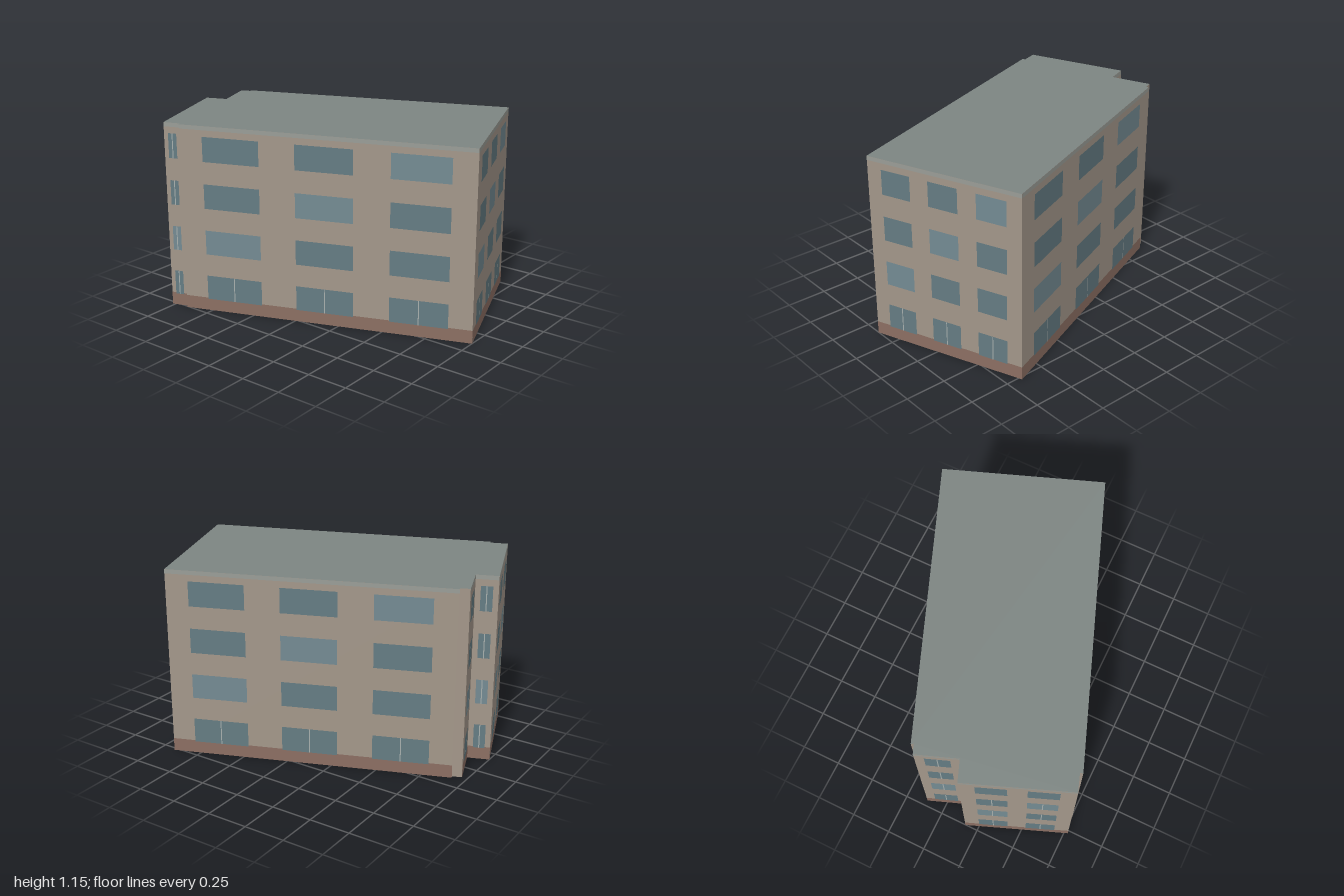
import * as THREE from 'three';

const HEIGHT = 1.155, FLOORS = 4, FLOOR_H = HEIGHT / FLOORS;

// Footprint corners [x, z], running left to right along each wall as seen from outside
const FOOTPRINT = [
  [-0.14, 1], [0.77, 0.66], [0.157, -0.918], [0.143, -0.91], [0.12, -0.965],
  [-0.12, -0.875], [-0.168, -1], [-0.773, -0.766], [-0.738, -0.665], [-0.755, -0.658],
];

const mat = (color, side = THREE.FrontSide) => new THREE.MeshStandardMaterial({ color, side });

export function createModel() {
  const model = new THREE.Group();
  model.name = 'apartmentBlock';
  const mats = {
    wall: mat(0xa3978a, THREE.DoubleSide),
    roof: mat(0x7d8582, THREE.DoubleSide),
    plinth: mat(0x8c6f63),
    fascia: mat(0x9a9d97),
    glass: mat(0x657c83),
    paleGlass: mat(0x748b93),
    mullion: mat(0xa8b0ae),
  };

  // Flat panel in a wall's own frame: x along the wall, z outwards
  function panel(parent, name, material, x, y, w, h, z) {
    const mesh = new THREE.Mesh(new THREE.PlaneGeometry(w, h), material);
    mesh.position.set(x, y, z);
    mesh.name = name;
    parent.add(mesh);
  }

  FOOTPRINT.forEach(([x0, z0], i) => {
    const [x1, z1] = FOOTPRINT[(i + 1) % FOOTPRINT.length];
    const len = Math.hypot(x1 - x0, z1 - z0);
    const side = new THREE.Group();
    side.name = 'facade';
    side.position.set(x0, 0, z0);
    side.rotation.y = Math.atan2(z0 - z1, x1 - x0);
    model.add(side);

    // Wall, brown plinth and roof-edge strip
    panel(side, 'wall', mats.wall, len / 2, HEIGHT / 2, len, HEIGHT, 0);
    if (len < 0.08) return;
    panel(side, 'plinth', mats.plinth, len / 2, 0.04, len, 0.08, 0.001);
    panel(side, 'fascia', mats.fascia, len / 2, HEIGHT - 0.0125, len, 0.025, 0.001);

    // Window grid
    const cols = len > 0.9 ? 3 : len > 0.6 ? 2 : 1;
    const margin = cols > 1 ? 0.033 : 0.01;
    const slot = (len - 2 * margin) / cols;
    for (let f = 0; f < FLOORS; f++) {
      for (let c = 0; c < cols; c++) {
        const x = margin + slot * (c + 0.5), y = f * FLOOR_H + 0.149;
        const glass = f - 1 === c ? mats.paleGlass : mats.glass;
        panel(side, 'window', glass, x, y, slot * 0.615, 0.152, 0.002);
        if (f === 0 || cols === 1 || (cols === 2 && f < 3)) {
          panel(side, 'mullion', mats.mullion, x, y, 0.006, 0.152, 0.003);
        }
      }
    }
  });

  // Flat roof; the underside of the block stays open
  const outline = new THREE.Shape(FOOTPRINT.map(([x, z]) => new THREE.Vector2(x, -z)));
  const roof = new THREE.Mesh(new THREE.ShapeGeometry(outline), mats.roof);
  roof.rotation.x = -Math.PI / 2;
  roof.position.y = HEIGHT;
  roof.name = 'roof';
  model.add(roof);
  return model;
}
